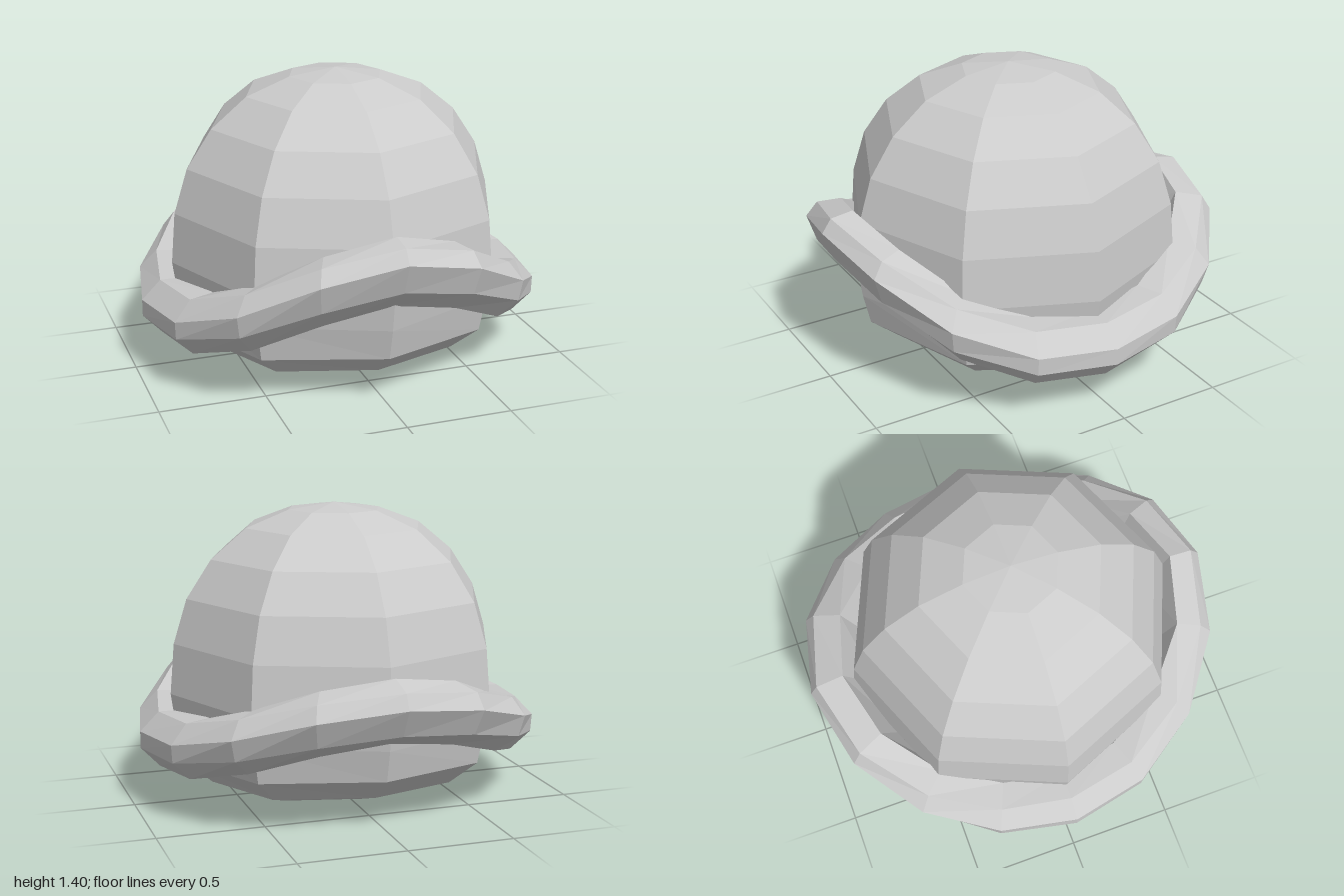
import * as THREE from 'three';

const CENTRE_Z = 0.02;

function facetedMesh(geometry, name) {
  const flat = geometry.index ? geometry.toNonIndexed() : geometry;
  flat.computeVertexNormals();
  const mesh = new THREE.Mesh(flat, new THREE.MeshStandardMaterial({ color: 0xcccccc, flatShading: true }));
  mesh.name = name;
  mesh.position.z = CENTRE_Z;
  return mesh;
}

// Eight-sided revolved body; with its underside sagging towards the sides
function body(profile, name, sag = 0) {
  const points = profile.map(([r, y]) => new THREE.Vector2(r, y));
  const geometry = new THREE.LatheGeometry(points, 8);
  const pos = geometry.attributes.position;
  for (let i = 0; i < pos.count; i++) {
    const r = Math.hypot(pos.getX(i), pos.getZ(i));
    const y = pos.getY(i);
    if (r > 0.01 && y < 0.3) {
      const s = pos.getX(i) / r;
      pos.setY(i, y - sag * s * s * Math.min(1, r / 0.6));
    }
  }
  return facetedMesh(geometry, name);
}

// Saddle-shaped rim: a six-sided section blended from side to front or back
function rim() {
  // [radius, height], from the top outer ridge round to the inner top edge
  const side = [[0.87, 0.44], [0.96, 0.35], [0.96, 0.27], [0.87, 0.175], [0.72, 0.18], [0.74, 0.44]];
  const front = [[0.93, 0.82], [0.975, 0.755], [0.92, 0.61], [0.80, 0.505], [0.70, 0.55], [0.82, 0.835]];
  const back = [[0.985, 0.69], [1.02, 0.62], [0.95, 0.49], [0.80, 0.42], [0.70, 0.45], [0.85, 0.725]];
  const steps = 16, n = side.length;
  const positions = [], index = [];
  for (let i = 0; i < steps; i++) {
    const a = (i / steps) * Math.PI * 2;
    const c = Math.cos(a);
    const end = c > 0 ? front : back;
    const w = Math.pow(Math.abs(c), c > 0 ? 3 : 2.5);
    for (let j = 0; j < n; j++) {
      const r = THREE.MathUtils.lerp(side[j][0], end[j][0], w);
      const y = THREE.MathUtils.lerp(side[j][1], end[j][1], w);
      positions.push(Math.sin(a) * r, y, c * r);
      const k = (j + 1) % n, next = (i + 1) % steps;
      const p = i * n + j, q = next * n + j, s = next * n + k, t = i * n + k;
      index.push(p, t, q, t, s, q);
    }
  }
  const geometry = new THREE.BufferGeometry();
  geometry.setAttribute('position', new THREE.Float32BufferAttribute(positions, 3));
  geometry.setIndex(index);
  return facetedMesh(geometry, 'rim');
}

export function createModel() {
  const model = new THREE.Group();
  model.name = 'shell';

  // Domed top
  model.add(body([
    [0.81, 0.52], [0.79, 0.76], [0.725, 0.97], [0.605, 1.15],
    [0.435, 1.29], [0.225, 1.37], [0, 1.4],
  ], 'dome'));

  // Rounded underside
  model.add(body([
    [0, 0], [0.42, 0.05], [0.615, 0.115], [0.755, 0.23], [0.79, 0.38], [0.81, 0.52],
  ], 'underside', 0.045));

  model.add(rim());
  return model;
}
